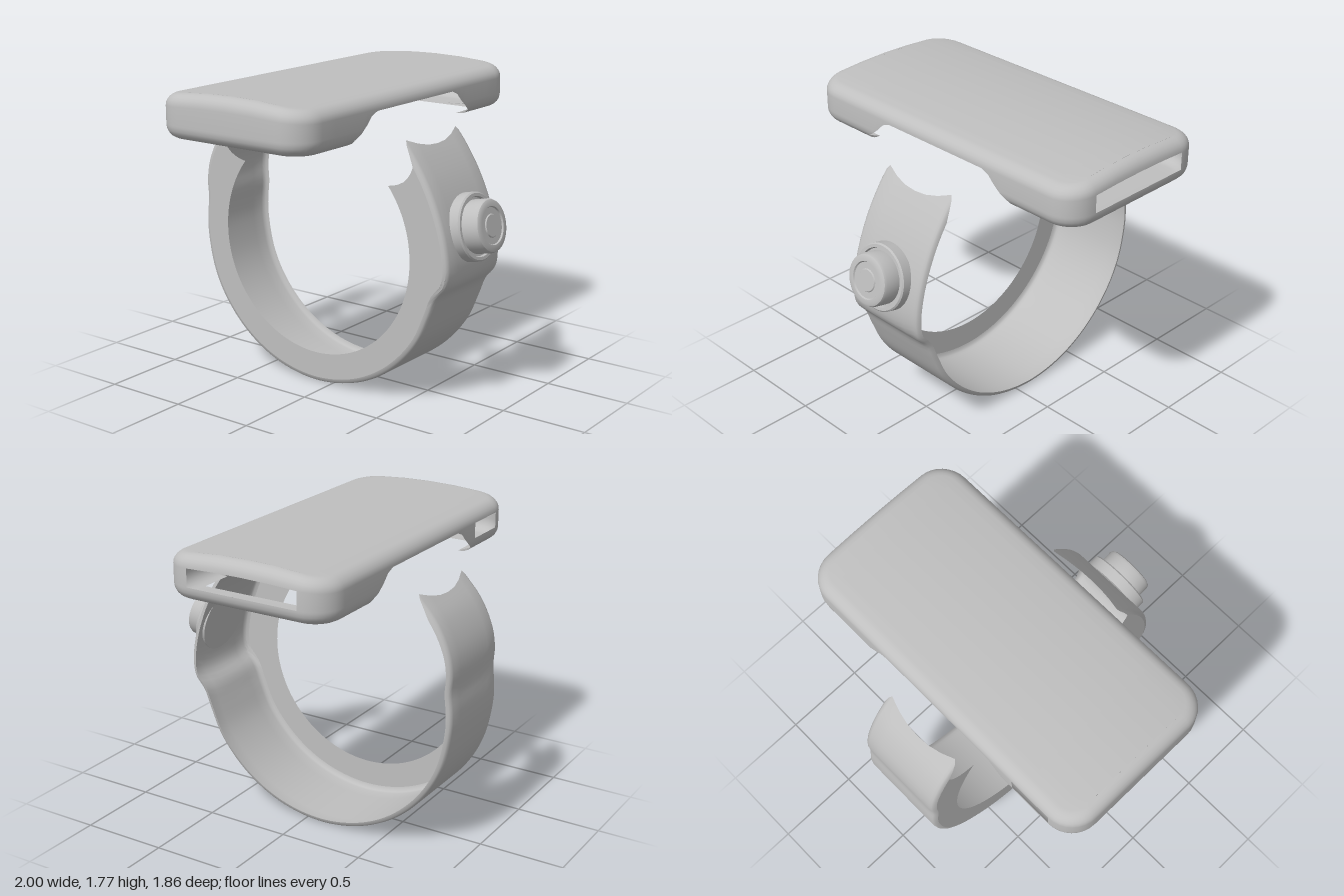
import * as THREE from 'three';
import { toCreasedNormals } from 'three/addons/utils/BufferGeometryUtils.js';

const grey = new THREE.MeshStandardMaterial({ color: 0xbfbfbf, side: THREE.DoubleSide });
grey.name = 'light grey';

// Surface from rows of cross-section points; skip(i, j) leaves openings.
function grid(name, rows, cols, point, { closed = false, skip = () => false, crease = 0.7 } = {}) {
  const pos = [];
  const a = new THREE.Vector3(), b = new THREE.Vector3(), c = new THREE.Vector3();
  const tri = (p, q, r) => {
    a.fromArray(p); b.fromArray(q); c.fromArray(r);
    if (b.clone().sub(a).cross(c.clone().sub(a)).length() > 1e-9) pos.push(...p, ...q, ...r);
  };
  for (let i = 0; i < rows - 1; i++) {
    for (let j = 0; j < (closed ? cols : cols - 1); j++) {
      if (skip(i, j)) continue;
      const k = (j + 1) % cols;
      const p = point(i, j), q = point(i, k), r = point(i + 1, k), s = point(i + 1, j);
      tri(p, q, r);
      tri(p, r, s);
    }
  }
  const geo = new THREE.BufferGeometry();
  geo.setAttribute('position', new THREE.Float32BufferAttribute(pos, 3));
  const mesh = new THREE.Mesh(toCreasedNormals(geo, crease), grey);
  mesh.name = name;
  return mesh;
}

const HALF_Z = 0.505, CORNER = 0.17, FLAT_X = 1 - CORNER, FLAT_Z = HALF_Z - CORNER;
const bulge = z => 0.035 * (1 - (z / HALF_Z) ** 2);

// Height of the arched cut-out in the long side walls.
function notch(x) {
  const p = [[0.36, 1.66], [0.41, 1.64], [0.45, 1.6], [0.5, 1.56], [0.545, 1.53]];
  const ax = Math.abs(x);
  if (ax > 0.545) return 1.5;
  if (ax <= 0.36) return 1.66;
  const k = p.findIndex(q => q[0] >= ax);
  const [x0, y0] = p[k - 1], [x1, y1] = p[k];
  return y0 + (y1 - y0) * (ax - x0) / (x1 - x0);
}

function makeHead() {
  const head = new THREE.Group();
  head.name = 'head';

  // Plan outline, counter-clockwise: corner centre plus outward direction
  const cols = [];
  const half = [0, 0.2, 0.36, 0.41, 0.45, 0.5, 0.5449, 0.5451, 0.57, 0.72];
  const xs = [...half.slice(1).reverse().map(v => -v), ...half];
  const corner = (cx, cz, start) => {
    for (let k = 0; k <= 8; k++) {
      const t = start - k / 8 * Math.PI / 2;
      cols.push([cx, cz, Math.cos(t), Math.sin(t)]);
    }
  };
  xs.forEach(x => cols.push([x, FLAT_Z, 0, 1]));
  corner(FLAT_X, FLAT_Z, Math.PI / 2);
  [0.17, 0, -0.17].forEach(z => cols.push([FLAT_X, z, 1, 0]));
  corner(FLAT_X, -FLAT_Z, 0);
  [...xs].reverse().forEach(x => cols.push([x, -FLAT_Z, 0, -1]));
  corner(-FLAT_X, -FLAT_Z, -Math.PI / 2);
  [-0.17, 0, 0.17].forEach(z => cols.push([-FLAT_X, z, -1, 0]));
  corner(-FLAT_X, FLAT_Z, -Math.PI);

  // Rows from the bottom lip up over the domed top
  const rows = [{ inset: 0.09, y: 1.5, w: 0, k: 1, lip: true }];
  for (let i = 0; i <= 5; i++) {
    const t = i / 5 * Math.PI / 2;
    rows.push({ inset: 0.07 * (1 - Math.sin(t)), y: 1.57 - 0.07 * Math.cos(t), w: 0, k: 1 });
  }
  rows.push({ inset: 0, y: 1.58, w: 0, k: 1 });
  const slotRow = rows.length - 1;
  for (let i = 0; i <= 6; i++) {
    const t = i / 6 * Math.PI / 2, s = Math.sin(t);
    rows.push({ inset: 0.07 * (1 - Math.cos(t)), y: 1.67 + 0.06 * s, w: 0.6 + 0.4 * s, k: 1 });
  }
  [0.8, 0.6, 0.4, 0.2, 0].forEach(k => rows.push({ inset: 0.07, y: 1.73, w: 1, k }));

  const point = (i, j) => {
    const r = rows[i], [cx, cz, nx, nz] = cols[j];
    let { inset, y } = r;
    const cut = notch(cx);
    const cutHere = y < cut;
    if (cutHere) {
      y = cut;
      inset = cut < 1.57 ? 0.07 * (1 - Math.sqrt(1 - ((1.57 - cut) / 0.07) ** 2)) : 0;
    }
    let x = cx + nx * (CORNER - inset);
    const z = (cz + nz * (CORNER - inset)) * r.k;
    if (r.lip && !cutHere) x = THREE.MathUtils.clamp(x, -0.74, 0.74);
    return [x, y + r.w * bulge(z), z];
  };
  // Openings: one in the end wall, one in the back wall
  const skip = (i, j) => {
    if (i !== slotRow) return false;
    const p = cols[j], q = cols[(j + 1) % cols.length];
    const endSlot = p[2] > 0.999 && q[2] > 0.999;
    const backSlot = p[3] < -0.999 && q[3] < -0.999 && Math.max(p[0], q[0]) < -0.565;
    return endSlot || backSlot;
  };
  head.add(grid('headShell', rows.length, cols.length, point, { closed: true, skip }));

  // Display sheet following the dome
  head.add(grid('display', 13, 2, (i, j) => {
    const z = 0.38 - 0.76 * i / 12;
    return [j ? 0.83 : -0.64, 1.732 + bulge(z), z];
  }));

  // Small round sensor under the end
  const sensor = new THREE.Mesh(new THREE.CylinderGeometry(0.05, 0.05, 0.006, 32), grey);
  sensor.name = 'sensor';
  sensor.position.set(0.83, 1.499, 0.235);
  head.add(sensor);
  head.position.z = -0.105;
  return head;
}

function makeBand() {
  const band = new THREE.Group();
  band.name = 'band';
  // Outer outline (z, y) from the front tip, under, to the back tip
  const path = new THREE.CatmullRomCurve3([
    [0.5, 1.495], [0.56, 1.42], [0.65, 1.28], [0.72, 1.13], [0.77, 0.97], [0.79, 0.82],
    [0.775, 0.725], [0.715, 0.65], [0.675, 0.55], [0.6, 0.384], [0.47, 0.227], [0.31, 0.108],
    [0.12, 0.03], [-0.1, 0], [-0.32, 0.03], [-0.51, 0.108], [-0.67, 0.227], [-0.8, 0.384],
    [-0.88, 0.55], [-0.922, 0.76], [-0.924, 0.87], [-0.913, 0.98], [-0.918, 1.09],
    [-0.895, 1.21], [-0.82, 1.36], [-0.7, 1.495],
  ].map(([z, y]) => new THREE.Vector3(0, y, z)));
  path.arcLengthDivisions = 600;
  const at = (t, depth) => {
    const p = path.getPointAt(t), d = path.getTangentAt(t);
    return [p.y - d.z * depth, p.z + d.y * depth];
  };

  // Section across the band: x, depth below the surface, trim at each tip
  const side = [[0, 0, 0.016], [0.08, 0, 0.0145], [0.16, 0, 0.009], [0.24, 0, 0],
    [0.255, 0.004, 0.006], [0.265, 0.013, 0.018], [0.27, 0.03, 0.036]];
  const section = [...side.slice(1).reverse(), ...side.map(([x, d, a]) => [-x, d, a])];
  const N = 121;
  band.add(grid('bandOuter', N, section.length, (i, j) => {
    const [x, depth, trim] = section[j];
    const [y, z] = at(trim + (1 - 2 * trim) * i / (N - 1), depth);
    return [x, y, z];
  }, { crease: 0.9 }));

  // Flat side wall reaching in to the round wrist opening
  const M = 7;
  band.add(grid('bandSideWall', N, M, (i, j) => {
    const k = j / (M - 1);
    const s = 0.5 + (i / (N - 1) - 0.5) * (1 - 0.02 * 4 * k * (1 - k));
    const [y, z] = at(0.036 + 0.928 * s, 0.03);
    const t = THREE.MathUtils.degToRad(39 - 258 * s);
    const iy = 0.83 + 0.65 * Math.sin(t), iz = -0.1 + 0.65 * Math.cos(t);
    return [-0.27, y + (iy - y) * k, z + (iz - z) * k];
  }));
  return band;
}

// Turned push button with collar, tilted slightly upward
function makeButton() {
  const profile = [[0, -0.16], [0.19, -0.16], [0.19, -0.098], [0.182, -0.09], [0.165, -0.09],
    [0.16, -0.105], [0.148, -0.105], [0.148, -0.02], [0.142, -0.006], [0.13, 0],
    [0.105, 0], [0.1, -0.008], [0.065, -0.008], [0.06, -0.002], [0, -0.002]];
  const lathe = new THREE.LatheGeometry(profile.map(p => new THREE.Vector2(...p)), 48);
  const button = new THREE.Mesh(toCreasedNormals(lathe, 0.6), grey);
  button.name = 'button';
  button.position.set(0, 1.04, 0.903);
  button.rotation.x = 1.354;
  return button;
}

export function createModel() {
  const model = new THREE.Group();
  model.name = 'wristDevice';
  model.add(makeHead(), makeBand(), makeButton());
  return model;
}
